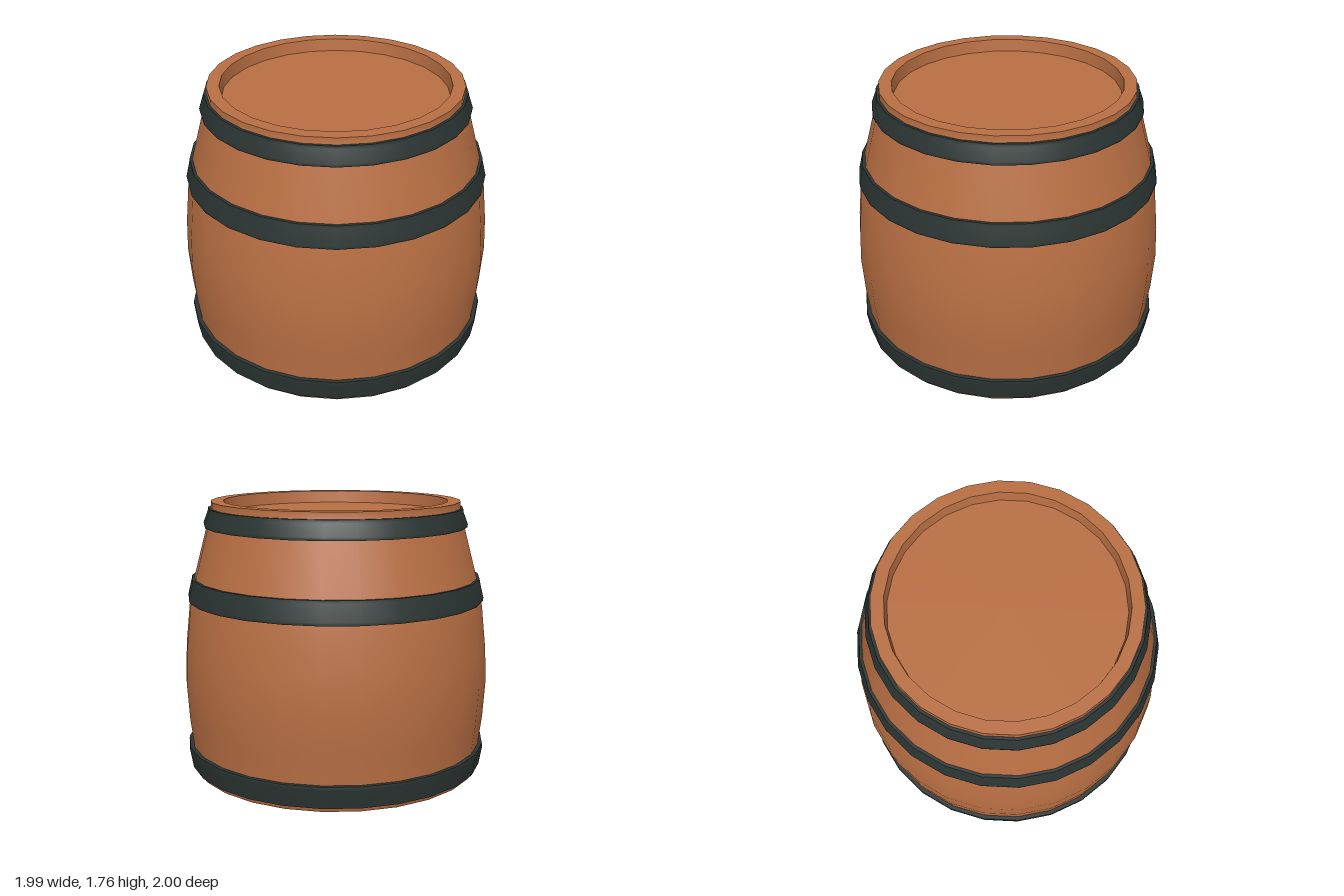
import * as THREE from 'three';
import { mergeGeometries } from 'three/addons/utils/BufferGeometryUtils.js';

const SIDES = 26;

const wood = new THREE.MeshStandardMaterial({ color: 0xb96f43 });
wood.name = 'wood';
const iron = new THREE.MeshStandardMaterial({ color: 0x2b3533 });
iron.name = 'dark iron';

// Revolves each [radius, y] run smoothly; edges between runs stay sharp
function turned(name, material, runs) {
  const parts = runs.map((run) =>
    new THREE.LatheGeometry(run.map(([r, y]) => new THREE.Vector2(r, y)), SIDES));
  const mesh = new THREE.Mesh(mergeGeometries(parts), material);
  mesh.name = name;
  return mesh;
}

export function createModel() {
  const barrel = new THREE.Group();
  barrel.name = 'barrel';

  // Bulging staves with the flat base
  barrel.add(turned('staves', wood, [
    [[0, 0], [0.945, 0]],
    [[0.945, 0], [0.96, 0.03], [0.965, 0.2], [0.985, 0.36], [1, 0.6], [0.99, 0.82],
      [0.96, 1.1], [0.92, 1.28], [0.835, 1.6], [0.805, 1.72], [0.805, 1.76]],
  ]));

  // Raised rim around the recessed lid
  barrel.add(turned('rim', wood, [
    [[0.805, 1.76], [0.725, 1.76]],
    [[0.725, 1.76], [0.715, 1.68]],
  ]));
  barrel.add(turned('lid', wood, [[[0.715, 1.68], [0, 1.68]]]));

  // Hoops: bottom y, bottom radius, top y, top radius
  const hoops = [
    ['bottomHoop', 0.03, 0.972, 0.172, 0.99],
    ['middleHoop', 1.13, 0.965, 1.273, 0.94],
    ['topHoop', 1.6, 0.852, 1.717, 0.823],
  ];
  for (const [name, y0, r0, y1, r1] of hoops) {
    barrel.add(turned(name, iron, [
      [[r0 - 0.06, y0], [r0, y0]],
      [[r0, y0], [r0 + 0.003, y0 + 0.02], [r1 + 0.003, y1 - 0.02], [r1, y1]],
      [[r1, y1], [r1 - 0.06, y1]],
    ]));
  }
  return barrel;
}
